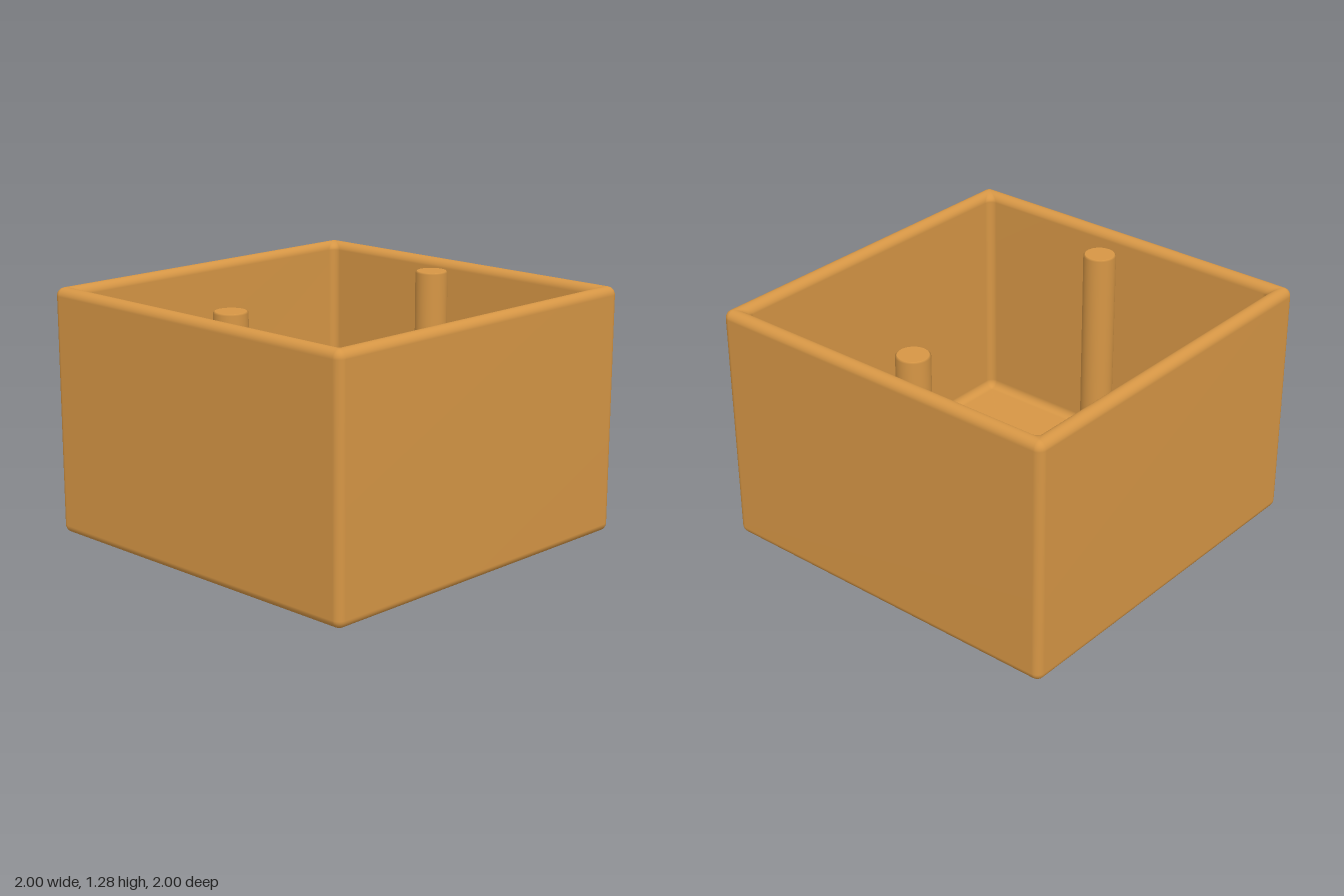
import * as THREE from 'three';

const HEIGHT = 1.285;  // overall height
const INNER = 0.915;   // half width of the cavity
const FLOOR = 0.085;   // floor thickness
const R = 0.0425;      // rounding of every edge

// Quarter-circle of profile points [half width, height]
function arc(cx, cy, from, to, steps = 6) {
  return Array.from({ length: steps + 1 }, (_, i) => {
    const a = (from + (to - from) * i / steps) * Math.PI / 180;
    return [cx + R * Math.cos(a), cy + R * Math.sin(a)];
  });
}

// Horizontal rounded square, as a loop of points
function ring([half, y]) {
  const r = Math.max(0.002, R - Math.min(Math.abs(1 - half), Math.abs(half - INNER)));
  const points = [], steps = 6;
  for (let corner = 0; corner < 4; corner++) {
    const mid = (corner + 0.5) * Math.PI / 2;
    const cx = Math.sign(Math.cos(mid)) * (half - r);
    const cz = Math.sign(Math.sin(mid)) * (half - r);
    for (let i = 0; i <= steps; i++) {
      const a = (corner + i / steps) * Math.PI / 2;
      points.push([cx + r * Math.cos(a), y, cz + r * Math.sin(a)]);
    }
  }
  return points;
}

// Open box skinned over rings: outside wall, rounded rim, inside wall, floor
function boxGeometry() {
  const profile = [
    ...arc(1 - R, R, -90, 0),
    ...arc(1 - R, HEIGHT - R, 0, 90),
    ...arc(INNER + R, HEIGHT - R, 90, 180).slice(1),
    ...arc(INNER - R, FLOOR + R, 0, -90),
  ];
  const rings = profile.map(ring);
  const n = rings[0].length;
  const positions = rings.flat(2);
  const index = [];
  for (let j = 0; j < rings.length - 1; j++) {
    for (let i = 0; i < n; i++) {
      const a = j * n + i, b = j * n + (i + 1) % n;
      index.push(a, a + n, b, b, a + n, b + n);
    }
  }
  // Underside and cavity floor
  const under = rings.length * n, floor = under + 1, last = (rings.length - 1) * n;
  positions.push(0, 0, 0, 0, FLOOR, 0);
  for (let i = 0; i < n; i++) {
    const k = (i + 1) % n;
    index.push(under, i, k, floor, last + k, last + i);
  }
  const geometry = new THREE.BufferGeometry();
  geometry.setAttribute('position', new THREE.Float32BufferAttribute(positions, 3));
  geometry.setIndex(index);
  geometry.computeVertexNormals();
  return geometry;
}

export function createModel() {
  const model = new THREE.Group();
  model.name = 'openBox';
  const wood = new THREE.MeshStandardMaterial({ color: 0xd69645 });
  wood.name = 'warm ochre';

  const box = new THREE.Mesh(boxGeometry(), wood);
  box.name = 'boxShell';
  model.add(box);

  // Two round screw posts standing on the floor, with slightly eased tops
  const radius = 0.085, top = 1.27, ease = 0.008;
  const postGeometry = new THREE.LatheGeometry([
    new THREE.Vector2(radius, FLOOR - 0.02),
    new THREE.Vector2(radius, top - ease),
    new THREE.Vector2(radius - ease, top),
  ], 40);
  const capGeometry = new THREE.CircleGeometry(radius - ease, 40).rotateX(-Math.PI / 2);
  for (const side of [-1, 1]) {
    const post = new THREE.Group();
    post.name = side > 0 ? 'leftPost' : 'rightPost';
    const shaft = new THREE.Mesh(postGeometry, wood);
    shaft.name = 'postShaft';
    const cap = new THREE.Mesh(capGeometry, wood);
    cap.name = 'postTop';
    cap.position.y = top;
    post.add(shaft, cap);
    post.position.x = side * 0.715;
    model.add(post);
  }
  return model;
}
